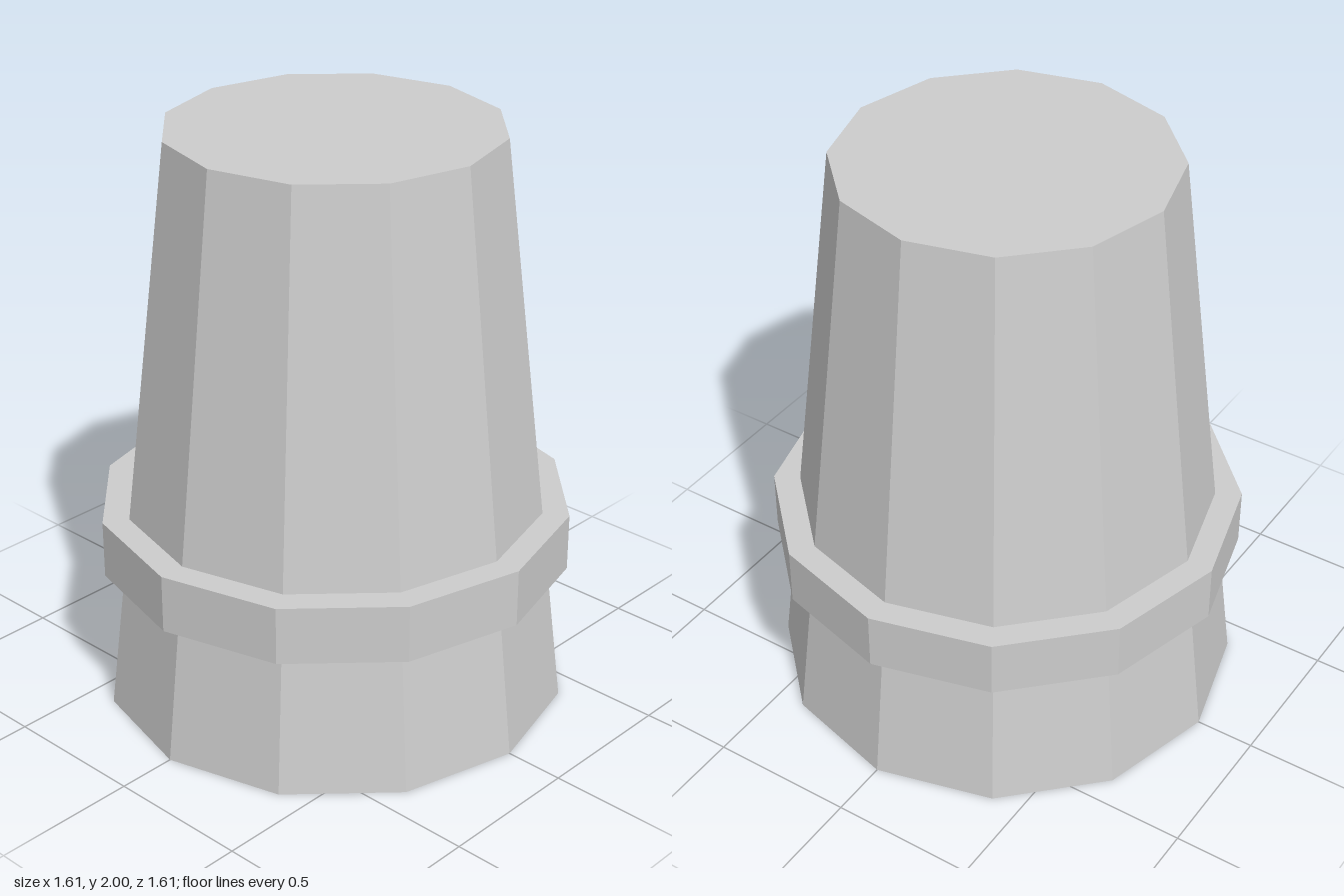
import * as THREE from 'three';

const SIDES = 12;

export function createModel() {
  const model = new THREE.Group();
  model.name = 'taperedPost';

  const grey = new THREE.MeshStandardMaterial({ color: 0xcccccc });
  grey.name = 'light grey';

  // Faceted solid standing between two heights
  function addPrism(name, topRadius, bottomRadius, bottom, top) {
    const geometry = new THREE.CylinderGeometry(topRadius, bottomRadius, top - bottom, SIDES).toNonIndexed();
    geometry.computeVertexNormals(); // flat facets
    const mesh = new THREE.Mesh(geometry, grey);
    mesh.name = name;
    mesh.position.y = (bottom + top) / 2;
    model.add(mesh);
  }

  addPrism('taperedBody', 0.557, 0.796, 0, 2);
  addPrism('collarBand', 0.803, 0.803, 0.5, 0.7);

  return model;
}
